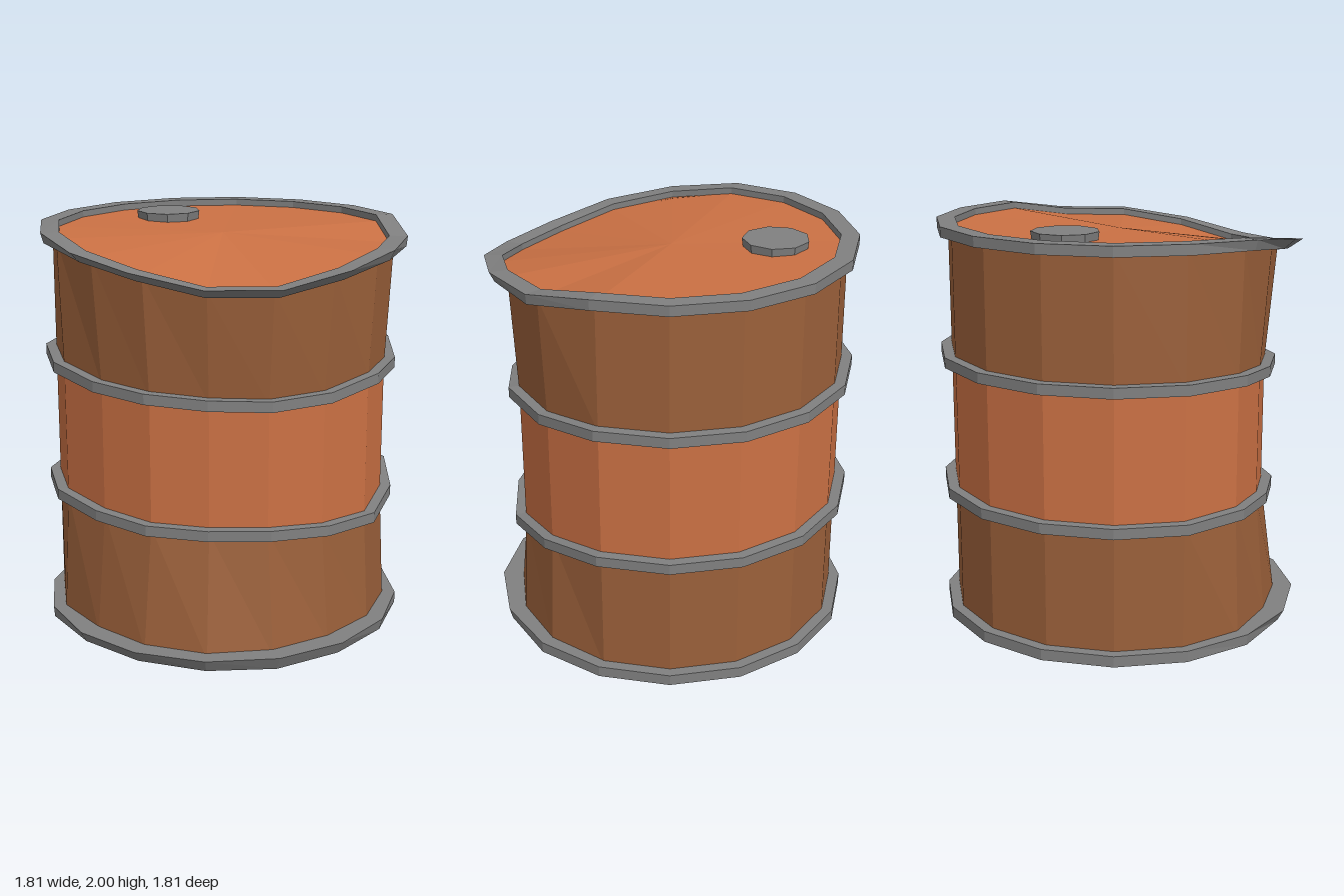
import * as THREE from 'three';

const SIDES = 16;
const mat = (name, color) => {
  const m = new THREE.MeshStandardMaterial({ color, flatShading: true, side: THREE.DoubleSide });
  m.name = name;
  return m;
};

// Values differ from the default only around the dented front corner (45 to 202.5 degrees).
const dented = (base, values) =>
  Array.from({ length: SIDES }, (_, i) => (i >= 2 && i <= 9 ? values[i - 2] : base));

// One 16-sided cross-section; radius, height and their offsets may vary per corner.
function row(r, y, dr = 0, dy = 0) {
  const at = (v, i) => (Array.isArray(v) ? v[i] : v);
  return Array.from({ length: SIDES }, (_, i) => {
    const a = (i / SIDES) * Math.PI * 2;
    const rad = Math.max(0, at(r, i) + at(dr, i));
    return [rad * Math.cos(a), at(y, i) + at(dy, i), rad * Math.sin(a)];
  });
}

// Skin between successive cross-sections.
function loft(name, material, rows) {
  const pos = [];
  for (let k = 0; k < rows.length - 1; k++) {
    const a = rows[k], b = rows[k + 1];
    for (let i = 0; i < SIDES; i++) {
      const j = (i + 1) % SIDES;
      pos.push(...a[i], ...b[i], ...b[j], ...a[i], ...b[j], ...a[j]);
    }
  }
  const g = new THREE.BufferGeometry();
  g.setAttribute('position', new THREE.Float32BufferAttribute(pos, 3));
  g.computeVertexNormals();
  const mesh = new THREE.Mesh(g, material);
  mesh.name = name;
  return mesh;
}

export function createModel() {
  const orange = mat('orange paint', 0xcb7144);
  const brown = mat('brown paint', 0x9b603a);
  const steel = mat('grey steel', 0x808080);
  const group = new THREE.Group();
  group.name = 'dentedBarrel';

  // Wall radius at each level
  const rBottom = dented(0.85, [0.84, 0.82, 0.8, 0.81, 0.82, 0.81, 0.8, 0.84]);
  const rMiddle = dented(0.85, [0.81, 0.79, 0.745, 0.72, 0.705, 0.73, 0.745, 0.81]);
  const rTop = dented(0.85, [0.84, 0.82, 0.8, 0.78, 0.77, 0.78, 0.79, 0.83]);

  // Height of each hoop's lower edge
  const yLow = dented(0.65, [0.61, 0.575, 0.59, 0.61, 0.615, 0.62, 0.63, 0.65]);
  const yHigh = dented(1.315, [1.285, 1.285, 1.25, 1.24, 1.25, 1.265, 1.275, 1.305]);
  const yRim = dented(1.95, [1.895, 1.885, 1.84, 1.785, 1.79, 1.85, 1.9, 1.94]);

  // Walls
  group.add(
    loft('lowerWall', brown, [row(rBottom, 0.04), row(rMiddle, yLow, 0, 0.025)]),
    loft('middleWall', orange, [row(rMiddle, yLow, 0, 0.025), row(rMiddle, yHigh, 0, 0.025)]),
    loft('upperWall', brown, [row(rMiddle, yHigh, 0, 0.025), row(rTop, yRim, 0, 0.02)]),
  );

  // Middle hoops
  for (const [name, y] of [['lowerHoop', yLow], ['upperHoop', yHigh]]) {
    const outer = row(rMiddle, y, 0.053);
    group.add(loft(name, steel, [
      outer, row(rMiddle, y, 0.053, 0.052),
      row(rMiddle, y, -0.02, 0.052), row(rMiddle, y, -0.02), outer,
    ]));
  }

  // Bottom rim, bent under at the dent
  const rUnder = dented(0.905, [0.905, 0.89, 0.875, 0.87, 0.87, 0.87, 0.875, 0.9]);
  const yUnder = dented(0.015, [0.015, 0.012, 0.008, 0, 0.006, 0.012, 0.015, 0.015]);
  const under = row(rUnder, yUnder);
  group.add(loft('bottomRim', steel, [
    under, row(0.905, 0.07), row(rBottom, 0.07, -0.03), row(0.85, yUnder), under,
  ]));
  group.add(loft('bottomPlate', orange, [row(0, 0.015), row(0.85, yUnder)]));

  // Top rim, sagging at the dent
  const rLip = dented(0.905, [0.9, 0.88, 0.85, 0.83, 0.82, 0.83, 0.85, 0.89]);
  const lip = row(rLip, yRim);
  group.add(loft('topRim', steel, [
    lip, row(0.905, yRim, 0, 0.05), row(0.815, yRim, 0, 0.05),
    row(0.815, yRim, 0, 0.015), row(rTop, yRim, -0.04), lip,
  ]));

  // Lid
  group.add(loft('lid', orange, [row(0.82, yRim, 0, 0.018), row(0, 1.95)]));

  // Filler cap
  const cap = new THREE.Mesh(new THREE.CylinderGeometry(0.163, 0.155, 0.06, 9), steel);
  cap.name = 'fillerCap';
  cap.position.set(0.05, 1.97, -0.5);
  group.add(cap);

  return group;
}
